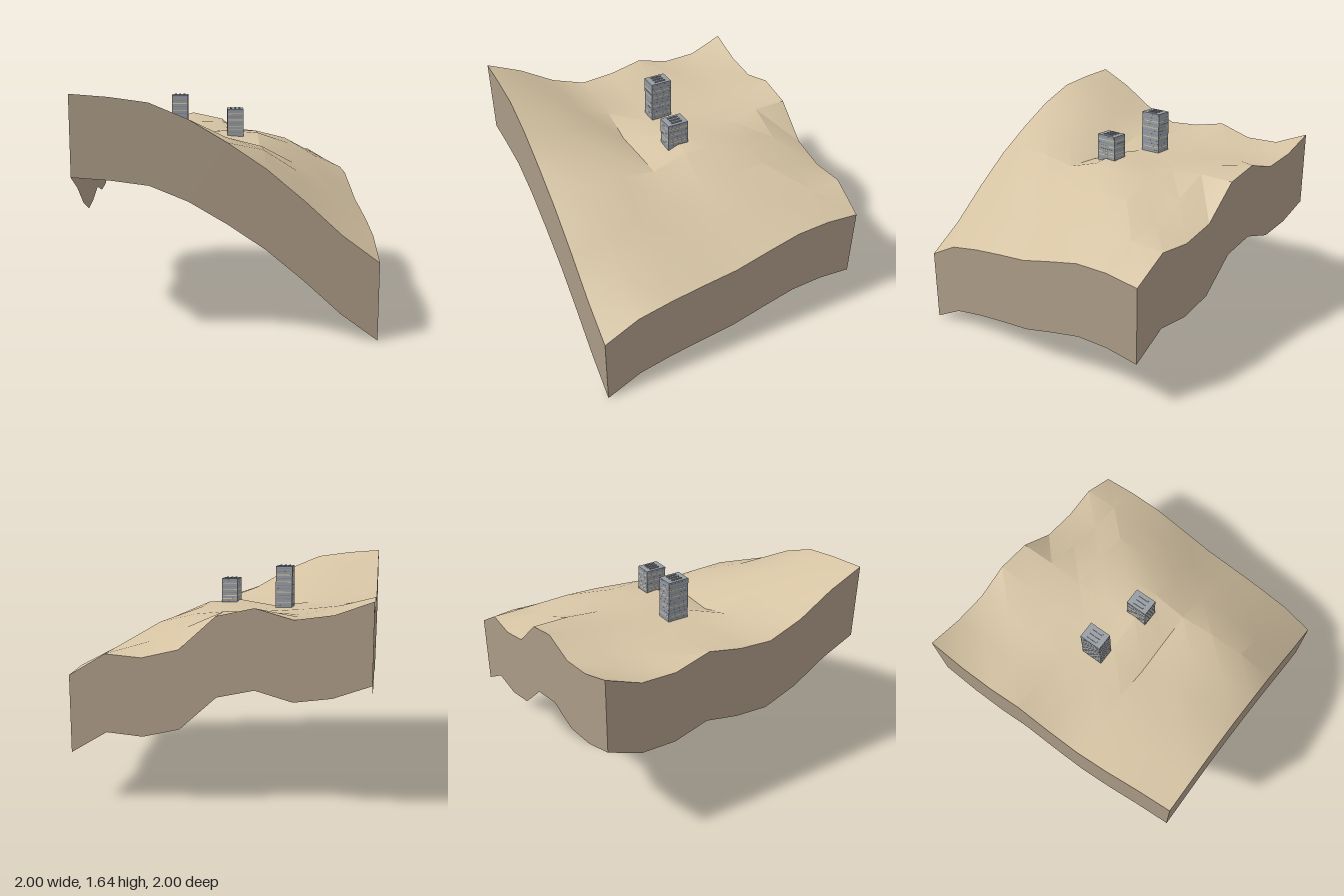
import * as THREE from 'three';
import { toCreasedNormals } from 'three/addons/utils/BufferGeometryUtils.js';

const mat = (name, color, side = THREE.FrontSide) => {
  const m = new THREE.MeshStandardMaterial({ color, side });
  m.name = name;
  return m;
};

// Ground heights on a 0.25 grid: rows from back to front, columns from -x to +x
const H = [
  [1.41, 1.32, 1.285, 1.355, 1.30, 1.075, 1.015, 1.035, 0.885],
  [1.305, 1.28, 1.275, 1.305, 1.30, 1.19, 1.09, 1.04, 0.91],
  [1.295, 1.265, 1.26, 1.28, 1.275, 1.25, 1.19, 1.04, 0.90],
  [1.365, 1.30, 1.27, 1.27, 1.28, 1.275, 1.18, 1.02, 0.84],
  [1.31, 1.29, 1.27, 1.265, 1.305, 1.285, 1.15, 0.96, 0.775],
  [1.29, 1.285, 1.27, 1.195, 1.205, 1.21, 1.09, 0.92, 0.745],
  [1.38, 1.38, 1.375, 1.34, 1.285, 1.245, 1.07, 0.89, 0.71],
  [1.53, 1.52, 1.50, 1.42, 1.335, 1.25, 1.03, 0.83, 0.66],
  [1.64, 1.62, 1.585, 1.48, 1.33, 1.16, 0.95, 0.72, 0.535],
];
const N = 8, STEP = 0.25, DEPTH = 0.532;
const point = (i, j) => new THREE.Vector3(i * STEP - 1, H[j][i], j * STEP - 1);

function createGround(material) {
  const geo = new THREE.PlaneGeometry(2, 2, N, N).rotateX(-Math.PI / 2);
  const pos = geo.attributes.position;
  for (let k = 0; k < pos.count; k++) pos.setY(k, H[Math.floor(k / (N + 1))][k % (N + 1)]);
  const mesh = new THREE.Mesh(toCreasedNormals(geo, 0.45), material);
  mesh.name = 'ground';
  return mesh;
}

// A vertical wall hanging below one edge of the ground
function createSkirt(name, edge, material) {
  const v = [], idx = [];
  for (let k = 0; k <= N; k++) {
    const p = edge(k);
    v.push(p.x, p.y, p.z, p.x, p.y - DEPTH, p.z);
    if (k < N) {
      const a = 2 * k;
      idx.push(a, a + 1, a + 2, a + 1, a + 3, a + 2);
    }
  }
  const geo = new THREE.BufferGeometry();
  geo.setAttribute('position', new THREE.Float32BufferAttribute(v, 3));
  geo.setIndex(idx);
  geo.computeVertexNormals();
  const mesh = new THREE.Mesh(geo, material);
  mesh.name = name;
  return mesh;
}

// A block tower with window bands on all sides and three slats on the roof
function createTower(name, x, z, base, height, floors, lit, m) {
  const W = 0.12, D = 0.158;
  const g = new THREE.Group();
  g.name = name;
  g.position.set(x, base, z);
  const box = (part, w, h, d, px, py, pz, material) => {
    const mesh = new THREE.Mesh(new THREE.BoxGeometry(w, h, d), material);
    mesh.name = part;
    mesh.position.set(px, py, pz);
    g.add(mesh);
  };
  box('walls', W, height + 0.03, D, 0, (height - 0.03) / 2, 0, m.wall);
  const pitch = height / floors;
  for (let f = 0; f < floors; f++) {
    const y = (f + 0.5) * pitch;
    const material = lit.includes(f) ? m.lit : m.window;
    for (const s of [-1, 1]) {
      box('windowBand', W * 0.9, 0.005, 0.001, 0, y, s * D / 2, material);
      box('windowBand', 0.001, 0.005, D * 0.92, s * W / 2, y, 0, material);
    }
  }
  for (const s of [-1, 0, 1]) box('roofSlat', 0.012, 0.006, 0.08, s * 0.032, height + 0.003, 0, m.wall);
  return g;
}

export function createModel() {
  const model = new THREE.Group();
  model.name = 'hillside';
  const sand = mat('sand', 0xd4c2a2, THREE.DoubleSide);
  const earth = mat('earth', 0xab9a85, THREE.DoubleSide);
  const m = {
    wall: mat('concrete', 0x979ca3),
    window: mat('darkWindow', 0x858b93),
    lit: mat('litWindow', 0xdccb9c),
  };

  model.add(createGround(sand));
  model.add(createSkirt('frontSkirt', k => point(k, N), earth));
  model.add(createSkirt('backSkirt', k => point(N - k, 0), earth));
  model.add(createSkirt('leftSkirt', k => point(N, N - k), earth));
  model.add(createSkirt('rightSkirt', k => point(0, k), earth));

  model.add(createTower('tallTower', -0.335, -0.083, 1.27, 0.297, 12, [1, 4, 7, 9], m));
  model.add(createTower('shortTower', 0.08, -0.003, 1.285, 0.183, 8, [1, 2, 4, 6], m));
  return model;
}
